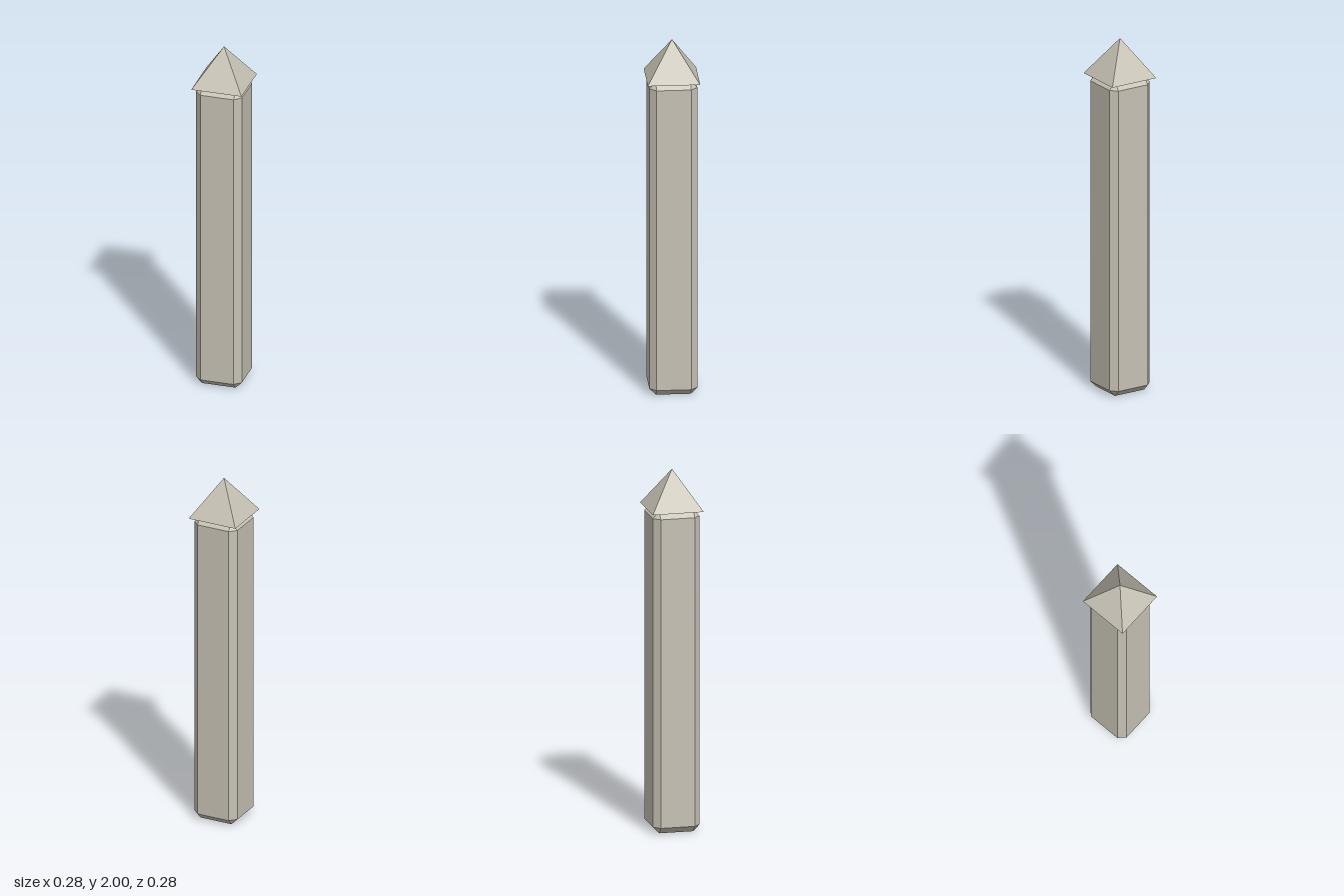
import * as THREE from 'three';
import { ConvexGeometry } from 'three/addons/geometries/ConvexGeometry.js';

// Box standing on y = 0 with every edge chamfered
function chamferedBox(halfWidth, height, chamfer) {
  const half = [halfWidth, height / 2, halfWidth];
  const points = [];
  for (const sx of [-1, 1]) for (const sy of [-1, 1]) for (const sz of [-1, 1]) {
    // Each corner becomes a small triangle: full size on one axis, inset on the others
    for (let axis = 0; axis < 3; axis++) {
      const [x, y, z] = half.map((h, i) => (i === axis ? h : h - chamfer));
      points.push(new THREE.Vector3(sx * x, sy * y + height / 2, sz * z));
    }
  }
  return new ConvexGeometry(points);
}

export function createModel() {
  const model = new THREE.Group();
  model.name = 'post';

  const stone = new THREE.MeshStandardMaterial({ color: 0xc6c1b4, flatShading: true });
  stone.name = 'pale stone';

  // Square shaft with bevelled edges
  const shaft = new THREE.Mesh(chamferedBox(0.13, 1.79, 0.036), stone);
  shaft.name = 'shaft';
  model.add(shaft);

  // Four-sided pyramid cap overhanging the shaft
  const capHalf = 0.1415, capBase = 1.786, capHeight = 2 - capBase;
  const capGeometry = new THREE.ConeGeometry(capHalf * Math.SQRT2, capHeight, 4);
  capGeometry.rotateY(Math.PI / 4);
  const cap = new THREE.Mesh(capGeometry, stone);
  cap.name = 'cap';
  cap.position.y = capBase + capHeight / 2;
  model.add(cap);

  return model;
}
